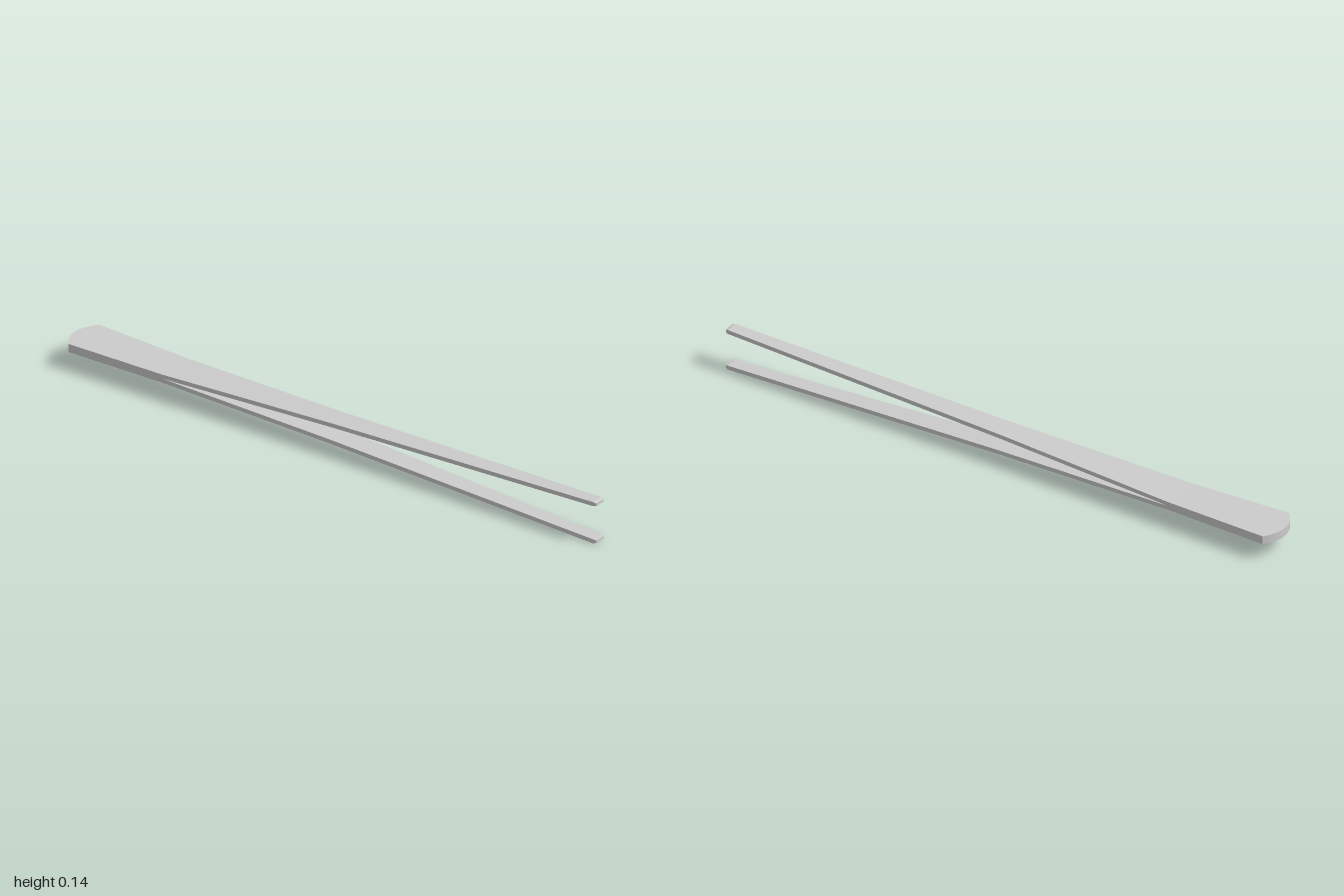
import * as THREE from 'three';

const MID = 0.0715;        // height of the split plane
const JOINT_Z = -0.62;     // where the two arms part

// Open loft through rectangular sections [z, halfWidth, bottom, top], capped at the last one
function loft(sections) {
  const rings = sections.map(([z, h, b, t]) => [[-h, b, z], [h, b, z], [h, t, z], [-h, t, z]]);
  const pos = [];
  const quad = (a, b, c, d) => [a, b, c, a, c, d].forEach(p => pos.push(...p));
  for (let s = 0; s < rings.length - 1; s++) {
    for (let i = 0; i < 4; i++) {
      const j = (i + 1) % 4;
      quad(rings[s][i], rings[s][j], rings[s + 1][j], rings[s + 1][i]);
    }
  }
  quad(...rings[rings.length - 1]);
  const geo = new THREE.BufferGeometry();
  geo.setAttribute('position', new THREE.Float32BufferAttribute(pos, 3));
  geo.computeVertexNormals();
  return geo;
}

export function createModel() {
  const group = new THREE.Group();
  group.name = 'tweezers';
  const material = new THREE.MeshStandardMaterial({ color: 0xcccccc, flatShading: true });

  // Solid grip at the back, flaring to a shallow arc
  const outline = new THREE.Shape();
  outline.moveTo(-0.065, -JOINT_Z);
  outline.lineTo(0.065, -JOINT_Z);
  for (let i = 0; i <= 8; i++) {
    const u = 1 - i / 4;
    outline.lineTo(0.078 * u, 1 - 0.033 * u * u);
  }
  outline.closePath();
  const gripGeo = new THREE.ExtrudeGeometry(outline, { depth: 0.028, bevelEnabled: false });
  gripGeo.rotateX(-Math.PI / 2);
  const grip = new THREE.Mesh(gripGeo, material);
  grip.name = 'grip';
  grip.position.y = MID - 0.014;
  group.add(grip);

  // Tapering arm with a slightly bevelled tip; the second is the first turned over
  const armGeo = loft([
    [JOINT_Z, 0.065, 0, 0.014],
    [0, 0.04, 0.022, 0.036],
    [0.99, 0.021, 0.0575, 0.0715],
    [1, 0.018, 0.0595, 0.0685],
  ]);
  ['upperArm', 'lowerArm'].forEach((name, i) => {
    const arm = new THREE.Mesh(armGeo, material);
    arm.name = name;
    arm.position.y = MID;
    arm.rotation.z = i * Math.PI;
    group.add(arm);
  });

  return group;
}
